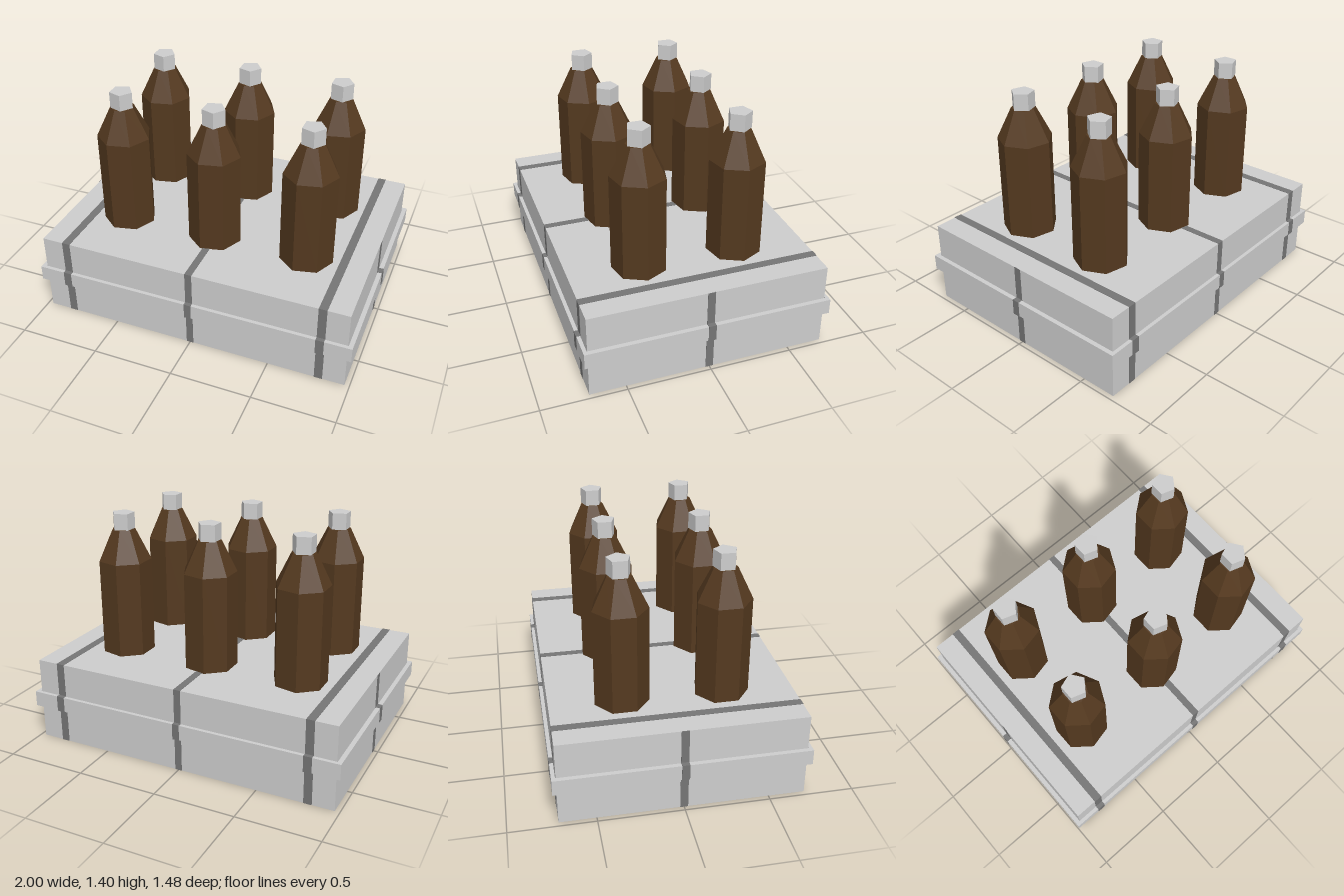
import * as THREE from 'three';

const gray = new THREE.MeshStandardMaterial({ color: 0xcdcdcd, flatShading: true, side: THREE.DoubleSide });
gray.name = 'light gray';
const dark = new THREE.MeshStandardMaterial({ color: 0x757575, flatShading: true });
dark.name = 'dark gray';
const brown = new THREE.MeshStandardMaterial({ color: 0x54391f, flatShading: true });
brown.name = 'brown glass';

// crate: half sizes of the walls and of the band, and the heights
const WX = 0.97, WZ = 0.715, BX = 1, BZ = 0.74;
const BAND_LOW = 0.215, BAND_TOP = 0.31, TOP = 0.52;
const STRIPE = 0.046, THIN = 0.004;

export function createModel() {
  const model = new THREE.Group();
  model.name = 'bottleCrate';

  const add = (name, geometry, material, x, y, z, parent = model) => {
    const mesh = new THREE.Mesh(geometry, material);
    mesh.name = name;
    mesh.position.set(x, y, z);
    parent.add(mesh);
    return mesh;
  };
  // box from y0 to y1
  const box = (name, material, w, d, y0, y1, x = 0, z = 0) =>
    add(name, new THREE.BoxGeometry(w, y1 - y0, d), material, x, (y0 + y1) / 2, z);

  // closed upper part
  box('crateTop', gray, 2 * WX, 2 * WZ, BAND_TOP, TOP);

  // lower walls, open underneath
  for (const s of [-1, 1]) {
    const wall = (name, w) => add(name, new THREE.PlaneGeometry(w, BAND_TOP), gray, 0, BAND_TOP / 2, 0);
    wall(s > 0 ? 'frontWall' : 'backWall', 2 * WX).position.z = s * WZ;
    const side = wall(s > 0 ? 'leftWall' : 'rightWall', 2 * WZ);
    side.position.x = s * WX;
    side.rotation.y = Math.PI / 2;
  }

  // protruding band around the middle
  const rect = (T, x, z) => new T([[-x, -z], [x, -z], [x, z], [-x, z]].map(p => new THREE.Vector2(...p)));
  const ring = rect(THREE.Shape, BX, BZ);
  ring.holes.push(rect(THREE.Path, WX + 0.003, WZ + 0.003));
  const bandGeometry = new THREE.ExtrudeGeometry(ring, { depth: BAND_TOP - BAND_LOW, bevelEnabled: false });
  bandGeometry.rotateX(-Math.PI / 2);
  add('band', bandGeometry, gray, 0, BAND_LOW, 0);

  // stripes over the top, down the front and back
  const bandZ = BZ - WZ, bandX = BX - WX;
  for (const x of [-0.812, 0, 0.812]) {
    const w = x ? 0.05 : 0.043;
    box('topStripe', dark, w, 2 * WZ + THIN, BAND_TOP - THIN / 2, TOP + THIN / 2, x);
    for (const s of [-1, 1]) {
      box('wallStripe', dark, w, THIN, 0, BAND_TOP, x, s * WZ);
      box('bandStripe', dark, w, bandZ, BAND_LOW - THIN / 2, BAND_TOP + THIN / 2, x, s * (WZ + bandZ / 2 + THIN / 2));
    }
  }
  // stripes on the left and right sides
  for (const s of [-1, 1]) {
    box('sideStripe', dark, THIN, STRIPE, 0, TOP, s * WX, 0);
    box('sideBandStripe', dark, bandX, STRIPE, BAND_LOW - THIN / 2, BAND_TOP + THIN / 2, s * (WX + bandX / 2 + THIN / 2), 0);
  }

  // six seven-sided bottles with five-sided caps
  const profile = [[0.163, 0.515], [0.163, 1.11], [0.071, 1.3], [0, 1.3]].map(p => new THREE.Vector2(...p));
  const bottleGeometry = new THREE.LatheGeometry(profile, 7, Math.PI / 2);
  const capGeometry = new THREE.CylinderGeometry(0.07, 0.07, 0.1, 5, 1, false, Math.PI / 2);
  for (const x of [-0.585, 0, 0.585]) {
    for (const z of [-0.293, 0.293]) {
      const bottle = new THREE.Group();
      bottle.name = 'bottle';
      bottle.position.set(x, 0, z);
      add('bottleBody', bottleGeometry, brown, 0, 0, 0, bottle);
      add('bottleCap', capGeometry, gray, 0, 1.35, 0, bottle);
      model.add(bottle);
    }
  }
  return model;
}
